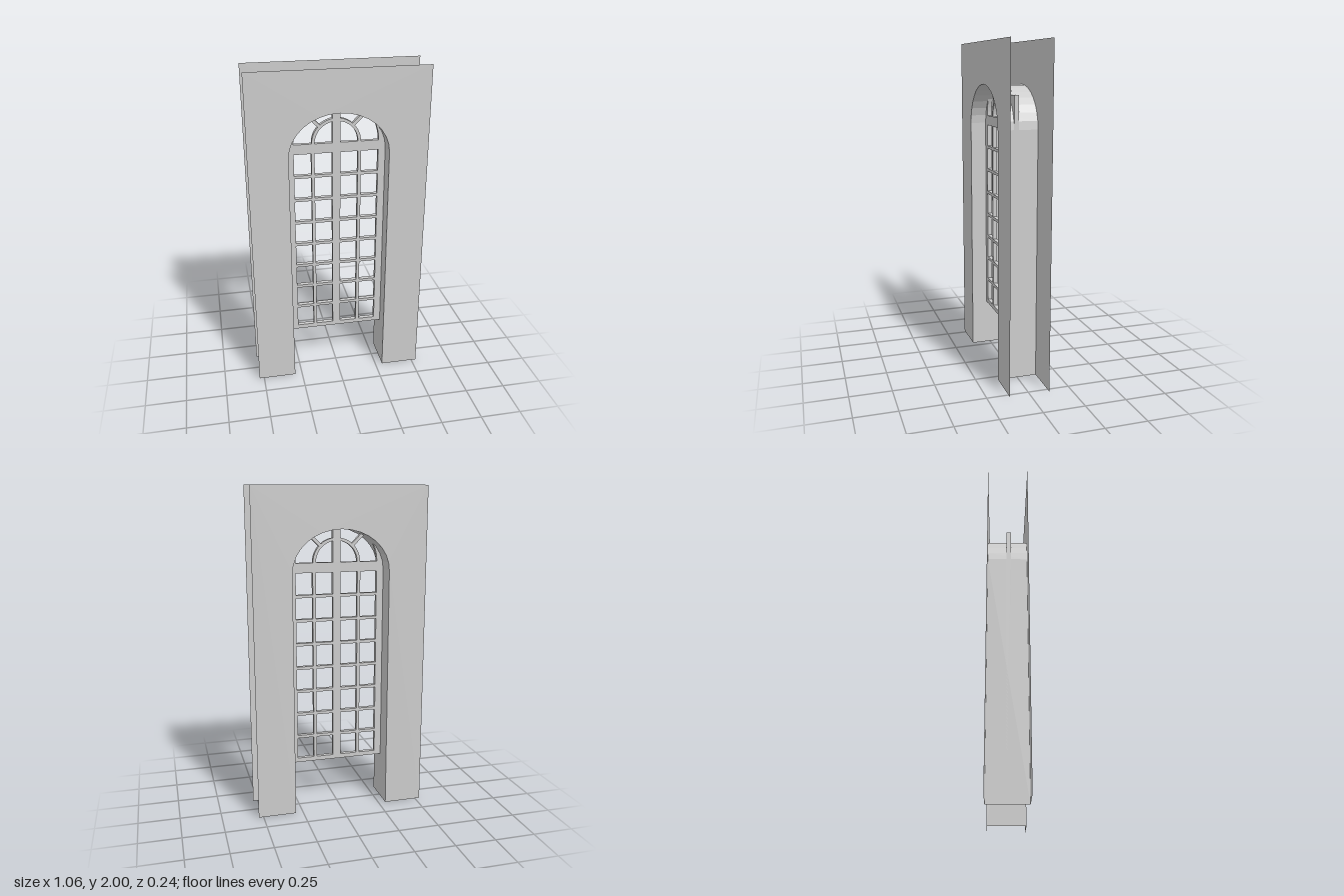
import * as THREE from 'three';

const HALF_W = 0.53, TOP = 2, HALF_D = 0.12;            // wall
const OPEN = 0.295, SPRING = 1.5, RISE = 0.25;          // arched opening
const Z0 = -0.004, DEPTH = 0.027;                       // window slab
const FAN_Y = 1.548;                                    // base of the fanlight

const wallMat = new THREE.MeshStandardMaterial({ color: 0xcccccc, side: THREE.DoubleSide, flatShading: true });
const frameMat = new THREE.MeshStandardMaterial({ color: 0xcccccc, flatShading: true });

// Outline of the opening, from the foot at +x over the arch to the foot at -x
function archPath(segments = 16) {
  const pts = [new THREE.Vector2(OPEN, 0)];
  for (let i = 0; i <= segments; i++) {
    const a = (i / segments) * Math.PI;
    pts.push(new THREE.Vector2(OPEN * Math.cos(a), SPRING + RISE * Math.sin(a)));
  }
  pts.push(new THREE.Vector2(-OPEN, 0));
  return pts;
}

// Strip that runs through the wall along the opening
function revealGeometry(path) {
  const pos = [];
  for (let i = 0; i < path.length - 1; i++) {
    const p = path[i], q = path[i + 1];
    pos.push(p.x, p.y, -HALF_D, p.x, p.y, HALF_D, q.x, q.y, HALF_D);
    pos.push(p.x, p.y, -HALF_D, q.x, q.y, HALF_D, q.x, q.y, -HALF_D);
  }
  const g = new THREE.BufferGeometry();
  g.setAttribute('position', new THREE.Float32BufferAttribute(pos, 3));
  g.computeVertexNormals();
  return g;
}

function rectPath(x0, y0, x1, y1, Type = THREE.Path) {
  return new Type([[x0, y0], [x1, y0], [x1, y1], [x0, y1]].map(([x, y]) => new THREE.Vector2(x, y)));
}

export function createModel() {
  const model = new THREE.Group();
  const add = (name, geometry, material, parent = model) => {
    const mesh = new THREE.Mesh(geometry, material);
    mesh.name = name;
    parent.add(mesh);
    return mesh;
  };
  const slab = (name, shape, parent) => {
    const g = new THREE.ExtrudeGeometry(shape, { depth: DEPTH, bevelEnabled: false, curveSegments: 12 });
    return add(name, g.translate(0, 0, Z0), frameMat, parent);
  };

  // Wall faces: open shell, without outer sides or top
  const arch = archPath();
  const wallShape = new THREE.Shape([
    new THREE.Vector2(HALF_W, 0), new THREE.Vector2(HALF_W, TOP),
    new THREE.Vector2(-HALF_W, TOP), new THREE.Vector2(-HALF_W, 0),
    ...arch.slice().reverse(),
  ]);
  const face = new THREE.ShapeGeometry(wallShape);
  add('wallFront', face, wallMat).position.z = HALF_D;
  const back = add('wallBack', face, wallMat);
  back.position.z = -HALF_D;
  back.rotation.y = Math.PI;
  add('archReveal', revealGeometry(arch), wallMat);

  // Lower window: one slab pierced by four columns and eight rows of panes
  const window_ = new THREE.Group();
  window_.name = 'window';
  model.add(window_);
  const lattice = rectPath(-OPEN, 0.29, OPEN, FAN_Y, THREE.Shape);
  const columns = [[-0.253, -0.149], [-0.13, -0.024], [0.024, 0.13], [0.149, 0.253]];
  const pitch = 0.148, firstBar = 0.459, halfBar = 0.009;
  for (const [x0, x1] of columns) {
    for (let r = 0; r < 8; r++) {
      const y0 = r === 0 ? 0.317 : firstBar + (r - 1) * pitch + halfBar;
      const y1 = r === 7 ? 1.488 : firstBar + r * pitch - halfBar;
      lattice.holes.push(rectPath(x0, y0, x1, y1));
    }
  }
  slab('paneLattice', lattice, window_);

  // Fanlight: centre mullion, inner ring, spokes and outer corners
  const fan = new THREE.Group();
  fan.name = 'fanlight';
  window_.add(fan);
  slab('centreMullion', rectPath(-0.024, FAN_Y, 0.024, SPRING + RISE, THREE.Shape), fan);

  const ring = new THREE.Shape();
  ring.absarc(0, FAN_Y, 0.147, 0, Math.PI, false);
  ring.absarc(0, FAN_Y, 0.129, Math.PI, 0, true);
  slab('fanRing', ring, fan);

  for (const side of [1, -1]) {
    const label = side > 0 ? 'left' : 'right';

    // Spoke from the ring to the arch
    const spoke = add(label + 'Spoke', new THREE.BoxGeometry(0.094, 0.019, DEPTH), frameMat, fan);
    const a = Math.PI * 0.25;
    spoke.position.set(side * 0.184 * Math.cos(a), FAN_Y + 0.184 * Math.sin(a) + 0.001, Z0 + DEPTH / 2);
    spoke.rotation.z = side * a;

    // Corner with a curved inner edge, running into the wall
    const corner = new THREE.Shape();
    const pts = [[OPEN, FAN_Y], [OPEN, 1.695], [0.208, 1.695]];
    const end = Math.asin((1.695 - FAN_Y) / 0.255);
    for (let i = 0; i <= 6; i++) {
      const t = end * (1 - i / 6);
      pts.push([0.254 * Math.cos(t), FAN_Y + 0.254 * Math.sin(t)]);
    }
    corner.setFromPoints(pts.map(([x, y]) => new THREE.Vector2(side * x, y)));
    slab(label + 'FanCorner', corner, fan);
  }
  return model;
}
